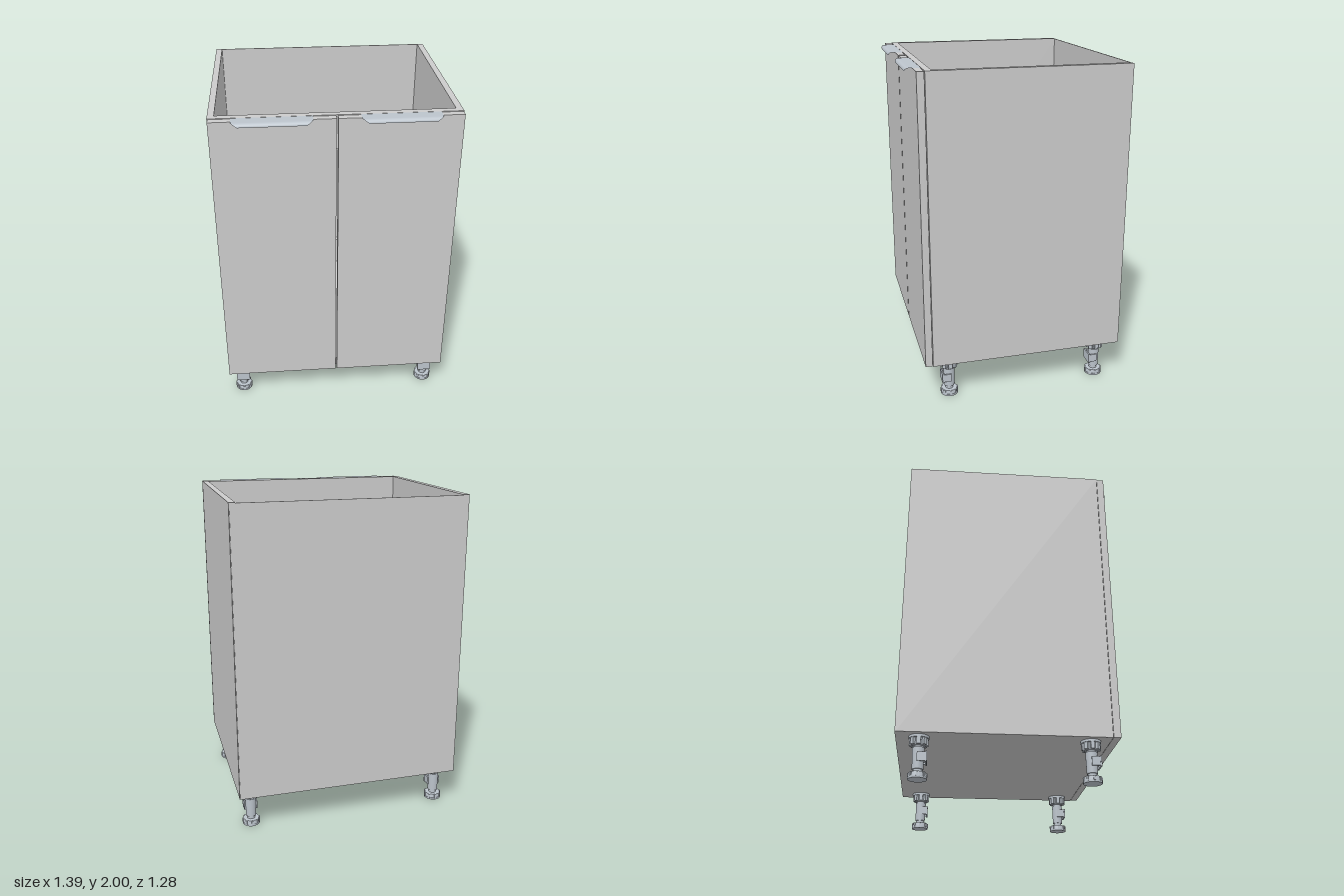
import * as THREE from 'three';

const grey = new THREE.MeshStandardMaterial({ color: 0xcccccc });
const metal = new THREE.MeshStandardMaterial({ color: 0xbcc4cc });
const metalThin = new THREE.MeshStandardMaterial({ color: 0xbcc4cc, side: THREE.DoubleSide });

function add(parent, name, geometry, material, x = 0, y = 0, z = 0) {
  const mesh = new THREE.Mesh(geometry, material);
  mesh.name = name;
  mesh.position.set(x, y, z);
  parent.add(mesh);
  return mesh;
}

// Box given by its min and max corners
function box(parent, name, [x0, y0, z0], [x1, y1, z1], material = grey) {
  return add(parent, name, new THREE.BoxGeometry(x1 - x0, y1 - y0, z1 - z0), material,
    (x0 + x1) / 2, (y0 + y1) / 2, (z0 + z1) / 2);
}

function cylinder(parent, name, r0, r1, y0, y1, sides = 24) {
  return add(parent, name, new THREE.CylinderGeometry(r1, r0, y1 - y0, sides), metal, 0, (y0 + y1) / 2, 0);
}

// Edge pull: a thin sheet, flat on the door and curling down in front, with rounded corners
function pullGeometry() {
  const path = [[0.547, 1.998], [0.595, 1.998]];
  for (let i = 0; i <= 8; i++) {
    const a = (i / 8) * Math.PI / 2;
    path.push([0.615 + 0.022 * Math.sin(a), 1.978 + 0.02 * Math.cos(a)]);
  }
  const positions = [], index = [], cols = 12;
  path.forEach(([z, y]) => {
    // ends pull in along a quarter circle towards the front edge
    const t = Math.max(0, (z - 0.602) / 0.035);
    const half = 0.22 - 0.035 * (1 - Math.sqrt(Math.max(0, 1 - t * t)));
    for (let c = 0; c <= cols; c++) positions.push(half * (2 * c / cols - 1), y, z);
  });
  for (let r = 0; r < path.length - 1; r++) {
    for (let c = 0; c < cols; c++) {
      const a = r * (cols + 1) + c, b = a + cols + 1;
      index.push(a, b, a + 1, b, b + 1, a + 1);
    }
  }
  const g = new THREE.BufferGeometry();
  g.setAttribute('position', new THREE.Float32BufferAttribute(positions, 3));
  g.setIndex(index);
  g.computeVertexNormals();
  return g;
}

// Adjustable foot with a plinth clip facing the front
function makeLeg() {
  const leg = new THREE.Group();
  leg.name = 'leg';
  cylinder(leg, 'footPad', 0.053, 0.053, 0, 0.012);
  cylinder(leg, 'footRim', 0.051, 0.048, 0.012, 0.036);
  for (let i = 0; i < 8; i++) {
    const a = i * Math.PI / 4;
    const rib = add(leg, 'footGrip', new THREE.BoxGeometry(0.012, 0.026, 0.014), metal,
      0.047 * Math.sin(a), 0.022, 0.047 * Math.cos(a));
    rib.rotation.y = a;
  }
  cylinder(leg, 'screw', 0.024, 0.024, 0.036, 0.06);
  cylinder(leg, 'stem', 0.031, 0.034, 0.055, 0.175);
  cylinder(leg, 'neck', 0.026, 0.026, 0.175, 0.2);
  cylinder(leg, 'socket', 0.036, 0.04, 0.185, 0.228);
  cylinder(leg, 'mountingPlate', 0.057, 0.057, 0.226, 0.24);
  // Ribs around the socket
  for (let i = 0; i < 8; i++) {
    const a = i * Math.PI / 4;
    const rib = add(leg, 'socketRib', new THREE.BoxGeometry(0.022, 0.04, 0.016), metal,
      0.045 * Math.sin(a), 0.208, 0.045 * Math.cos(a));
    rib.rotation.y = a;
  }
  // Plinth clip
  box(leg, 'clipPlate', [-0.043, 0.09, 0.04], [0.043, 0.15, 0.048], metal);
  box(leg, 'clipBridge', [-0.025, 0.105, 0.02], [0.025, 0.135, 0.042], metal);
  for (const s of [-1, 1]) {
    add(leg, 'clipArm', new THREE.BoxGeometry(0.008, 0.05, 0.05), metal, s * 0.037, 0.12, 0.018);
  }
  return leg;
}

// Hinge on the left (+x) wall: wall plate, tapered arm and cup arm to the door
function makeHinge() {
  const hinge = new THREE.Group();
  hinge.name = 'hinge';
  box(hinge, 'wallPlate', [0.65, -0.02, 0.375], [0.658, 0.02, 0.5], metal);
  box(hinge, 'plateWings', [0.648, -0.06, 0.41], [0.658, 0.06, 0.45], metal);
  const arm = new THREE.Shape([[0.65, 0.37], [0.635, 0.37], [0.615, 0.512], [0.65, 0.512]]
    .map(([x, z]) => new THREE.Vector2(x, -z)));
  const g = new THREE.ExtrudeGeometry(arm, { depth: 0.036, bevelEnabled: false });
  g.rotateX(-Math.PI / 2);
  add(hinge, 'arm', g, metal, 0, -0.018, 0);
  box(hinge, 'cupArm', [0.59, -0.014, 0.505], [0.635, 0.014, 0.552], metal);
  box(hinge, 'cupFlange', [0.57, -0.05, 0.548], [0.62, 0.05, 0.556], metal);
  for (const y of [-0.045, 0.045]) {
    const screw = add(hinge, 'plateScrew', new THREE.CylinderGeometry(0.01, 0.01, 0.008, 12), metal, 0.645, y, 0.43);
    screw.rotation.z = Math.PI / 2;
  }
  return hinge;
}

export function createModel() {
  const model = new THREE.Group();
  model.name = 'baseCabinet';

  // Carcass, open at the top
  box(model, 'bottomPanel', [-0.66, 0.24, -0.635], [0.66, 0.28, 0.55]);
  box(model, 'backPanel', [-0.692, 0.24, -0.64], [0.692, 1.998, -0.634]);
  box(model, 'frontRail', [-0.66, 1.8, 0.51], [0.66, 2, 0.55]);
  box(model, 'backRail', [-0.66, 0.28, -0.634], [0.66, 0.48, -0.595]);

  for (const s of [-1, 1]) {
    add(model, 'sidePanel', new THREE.BoxGeometry(0.037, 1.76, 1.184), grey, s * 0.6765, 1.12, -0.042);
    add(model, 'door', new THREE.BoxGeometry(0.686, 1.755, 0.042), grey, s * 0.348, 1.1195, 0.574);
    add(model, 'doorPull', pullGeometry(), metalThin, s * 0.35, 0.001, 0);

    for (const z of [0.44, -0.51]) {
      const leg = makeLeg();
      leg.position.set(s * 0.61, 0, z);
      model.add(leg);
    }
    for (const y of [1.63, 0.6]) {
      const hinge = makeHinge();
      hinge.position.y = y;
      // Turn the right-hand hinge by mirroring
      hinge.scale.x = s;
      model.add(hinge);
    }
  }
  return model;
}
